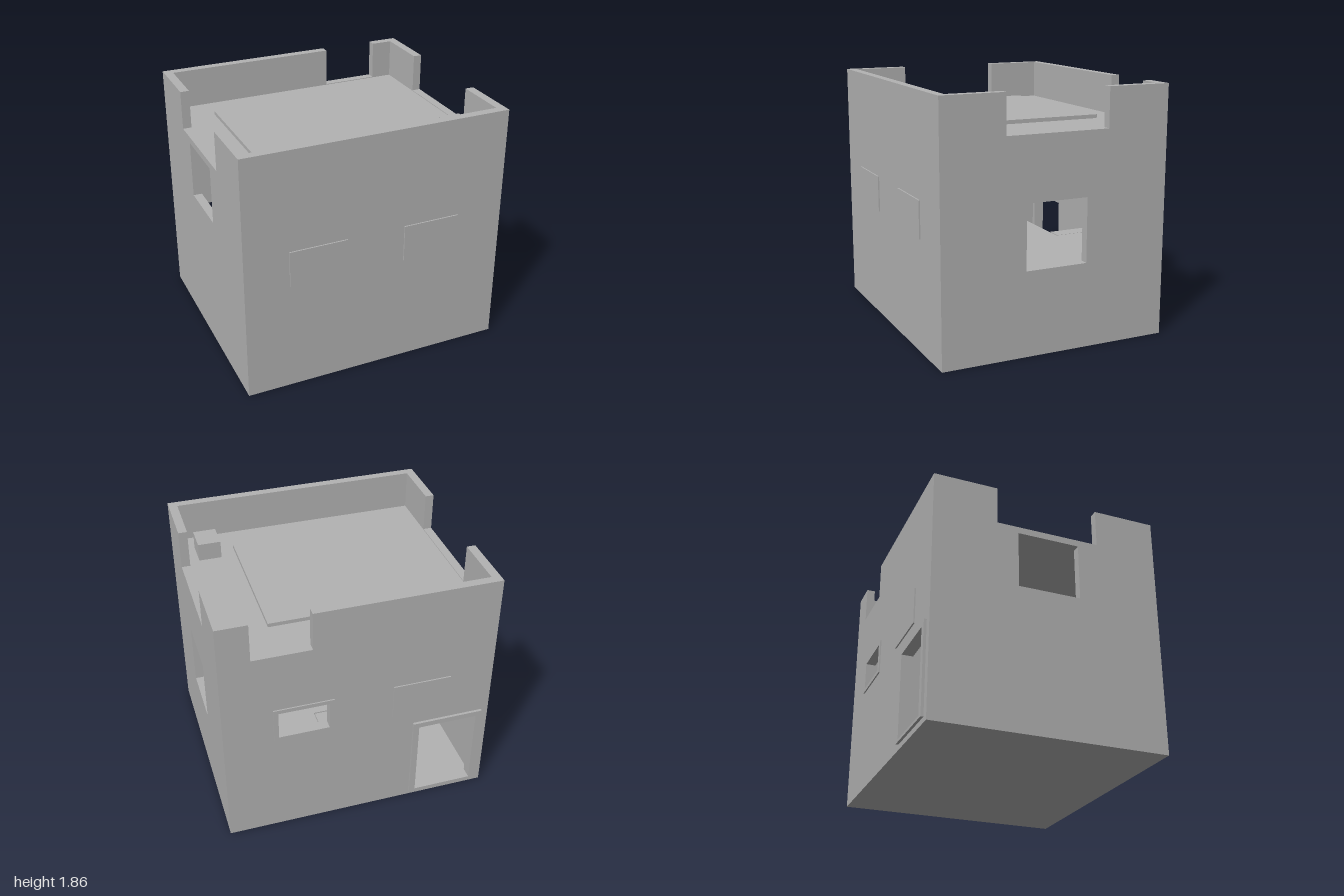
import * as THREE from 'three';

const W = 1, D = 0.87, H = 1.86, T = 0.065; // half width, half depth, wall height, wall thickness
const DECK = 1.57, FLOOR = 0.04, LOFT = 0.61;

export function createModel() {
  const model = new THREE.Group();
  const plaster = new THREE.MeshStandardMaterial({ color: 0xb2b2b2 });
  plaster.name = 'plaster grey';

  const add = (name, geometry) => {
    const mesh = new THREE.Mesh(geometry, plaster);
    mesh.name = name;
    model.add(mesh);
    return mesh;
  };
  // box given by its lowest and highest corners
  const box = (name, x0, x1, y0, y1, z0, z1) => {
    const mesh = add(name, new THREE.BoxGeometry(x1 - x0, y1 - y0, z1 - z0));
    mesh.position.set((x0 + x1) / 2, (y0 + y1) / 2, (z0 + z1) / 2);
    return mesh;
  };
  const rectPoints = (u0, u1, y0, y1) =>
    [[u0, y0], [u1, y0], [u1, y1], [u0, y1]].map(([u, y]) => new THREE.Vector2(u, y));
  // extruded panel with rectangular openings and an optional gap in the parapet
  const panel = (name, [u0, u1, y0, y1], depth, holes, gap) => {
    const pts = rectPoints(u0, u1, y0, y1);
    if (gap) {
      const [a, b] = gap;
      pts.splice(3, 0, new THREE.Vector2(b, y1), new THREE.Vector2(b, DECK),
        new THREE.Vector2(a, DECK), new THREE.Vector2(a, y1));
    }
    const shape = new THREE.Shape(pts);
    for (const h of holes) shape.holes.push(new THREE.Path(rectPoints(...h)));
    return add(name, new THREE.ExtrudeGeometry(shape, { depth, bevelEnabled: false }));
  };

  // outer walls with parapet
  const door = [-0.9, -0.45, 0.06, 0.69];
  const backOpening = [0.235, 0.605, 0.865, 1.08];
  panel('frontWall', [-W, W, 0, H], T, []).position.z = D - T;
  panel('backWall', [-W, W, 0, H], T, [door, backOpening], [0.35, 0.775]).position.z = -D;
  for (const [name, x, y0, y1] of [['leftWall', W - T, 0.625, 1.1], ['rightWall', -W, 1.09, 1.52]]) {
    const wall = panel(name, [-D + T, D - T, 0, H], T, [[-0.24, 0.23, y0, y1]], [-0.395, 0.39]);
    wall.rotation.y = Math.PI / 2;
    wall.position.x = x;
  }

  // ground slab and roof deck
  const ix = W - T, iz = D - T;
  box('groundFloor', -ix, ix, 0, FLOOR, -iz, iz);
  box('roofDeck', -ix, ix, DECK - 0.05, DECK - 0.005, -iz, iz);
  box('roofCover', -0.705, 0.575, 1.577, 1.605, -0.545, 0.545);
  box('roofVent', 0.685, 0.855, DECK - 0.01, 1.7, 0.455, 0.655);

  // closed shutters, front and back
  for (const x of [-0.67, 0.205]) box('frontShutter', x, x + 0.43, 0.835, 1.11, D - 0.002, D + 0.01);
  box('backShutter', -0.67, -0.24, 0.835, 1.11, -D - 0.01, -D + 0.002);

  // frames around the open back window and the door
  panel('backWindowFrame', [0.2, 0.64, 0.835, 1.11], 0.012, [backOpening]).position.z = -D - 0.01;
  panel('doorFrame', [-0.945, -0.405, 0.04, 0.73], 0.022, [door]).position.z = -D - 0.02;

  // upper floor, leaving a stairwell by the back wall
  box('upperFloor', -ix, ix, LOFT - 0.05, LOFT, -0.42, iz);
  box('upperFloorLanding', 0.22, ix, LOFT - 0.05, LOFT, -iz, -0.42);

  // stairs rising along the back wall
  const steps = 5, rise = (LOFT - FLOOR) / steps, run = 0.115;
  for (let i = 0; i < steps; i++) {
    const x = -0.36 + i * run;
    box('stairStep', x, x + run, FLOOR, FLOOR + (i + 1) * rise, -iz, -0.43);
  }

  // furniture
  box('lowerCabinet', -0.42, -0.2, FLOOR, 0.3, -0.4, -0.1);
  box('lowerCabinetTop', -0.43, -0.19, 0.3, 0.32, -0.41, -0.09);
  box('upperCabinet', -0.8, -0.5, LOFT, 0.88, -0.4, -0.075);
  box('upperCabinetTop', -0.81, -0.49, 0.9, 0.927, -0.41, -0.065);
  box('upperCabinetCore', -0.78, -0.52, 0.88, 0.9, -0.38, -0.1);
  box('smallBox', -0.68, -0.62, 0.927, 1.0, -0.165, -0.105);
  box('lowStool', -0.8, -0.6, LOFT, 0.665, 0.19, 0.4);

  return model;
}
